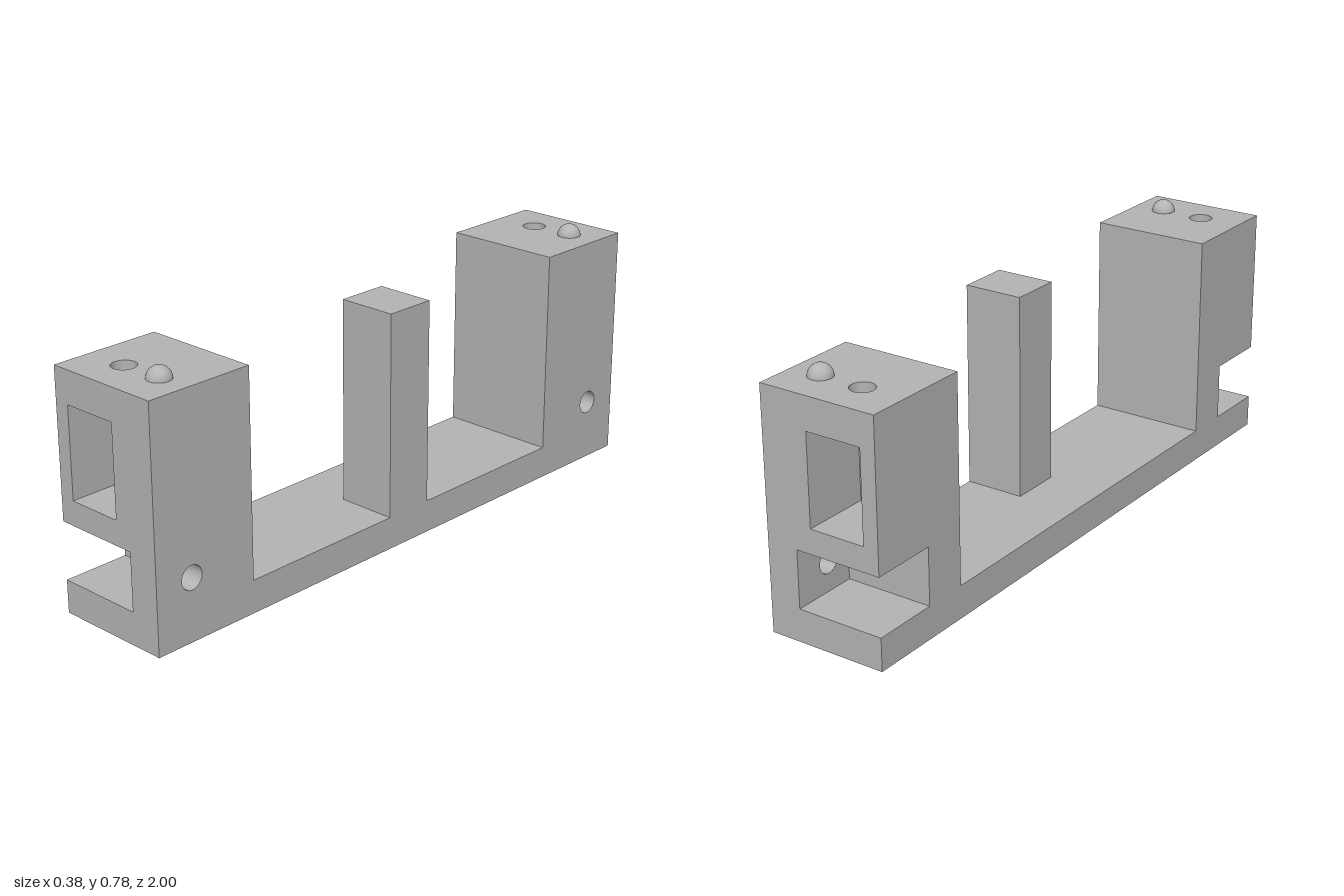
import * as THREE from 'three';
import { toCreasedNormals } from 'three/addons/utils/BufferGeometryUtils.js';

const W = 0.191;          // half width
const FLOOR = 0.103;      // base thickness
const TOP = 0.745;        // block height
const IN = 0.645;         // inner face of an end block
const CUT = 0.788;        // depth reached by pocket and slot
const HOLE_Z = 0.873, R = 0.037;

export function createModel() {
  const model = new THREE.Group();
  model.name = 'bracket';
  const grey = new THREE.MeshStandardMaterial({ color: 0xb4b4b4 });
  grey.name = 'plain grey';

  const add = (parent, name, geometry) => {
    const mesh = new THREE.Mesh(geometry, grey);
    mesh.name = name;
    parent.add(mesh);
    return mesh;
  };
  // box between two opposite corners
  const box = (x0, x1, y0, y1, z0, z1) =>
    new THREE.BoxGeometry(x1 - x0, y1 - y0, Math.abs(z1 - z0))
      .translate((x0 + x1) / 2, (y0 + y1) / 2, (z0 + z1) / 2);
  // rectangular plate with one round hole, extruded along +z
  const drilled = (x0, x1, y0, y1, hx, hy, depth) => {
    const shape = new THREE.Shape([[x0, y0], [x1, y0], [x1, y1], [x0, y1]]
      .map(([x, y]) => new THREE.Vector2(x, y)));
    shape.holes.push(new THREE.Path().absarc(hx, hy, R, 0, Math.PI * 2, true));
    const geometry = new THREE.ExtrudeGeometry(shape, { depth, bevelEnabled: false, curveSegments: 32 });
    return toCreasedNormals(geometry, 0.6);
  };

  add(model, 'base', box(-W, W, 0, FLOOR, -1, 1));
  add(model, 'middlePost', box(0, W, FLOOR, TOP, -0.083, 0.083));

  // the two end blocks mirror each other front to back
  for (const s of [1, -1]) {
    const block = new THREE.Group();
    block.name = s > 0 ? 'frontBlock' : 'backBlock';
    model.add(block);

    add(block, 'innerWall', box(-W, W, FLOOR, 0.643, s * IN, s * CUT));

    // U-shaped body around the pocket
    const u = [[-W, 0.283], [W, 0.283], [W, 0.643], [0.038, 0.643],
      [0.038, 0.36], [-0.142, 0.36], [-0.142, 0.643], [-W, 0.643]];
    const body = new THREE.ExtrudeGeometry(
      new THREE.Shape(u.map(([x, y]) => new THREE.Vector2(x, y))),
      { depth: 1 - CUT, bevelEnabled: false });
    add(block, 'pocketBody', body.translate(0, 0, s > 0 ? CUT : -1));

    // cap with the vertical hole opening into the pocket
    const [c0, c1] = s > 0 ? [-1, -IN] : [IN, 1];
    add(block, 'cap', drilled(-W, W, c0, c1, -0.053, -s * HOLE_Z, TOP - 0.643)
      .rotateX(-Math.PI / 2).translate(0, 0.643, 0));

    // side wall of the slot with the cross hole
    const [w0, w1] = s > 0 ? [-1, -CUT] : [CUT, 1];
    add(block, 'slotWall', drilled(w0, w1, FLOOR, 0.283, -s * HOLE_Z, 0.195, W - 0.09)
      .rotateY(Math.PI / 2).translate(0.09, 0, 0));

    // domed locating stud
    const stud = add(block, 'stud',
      new THREE.SphereGeometry(R, 32, 12, 0, Math.PI * 2, 0, Math.PI / 2));
    stud.position.set(0.089, TOP, s * HOLE_Z);
  }
  return model;
}
